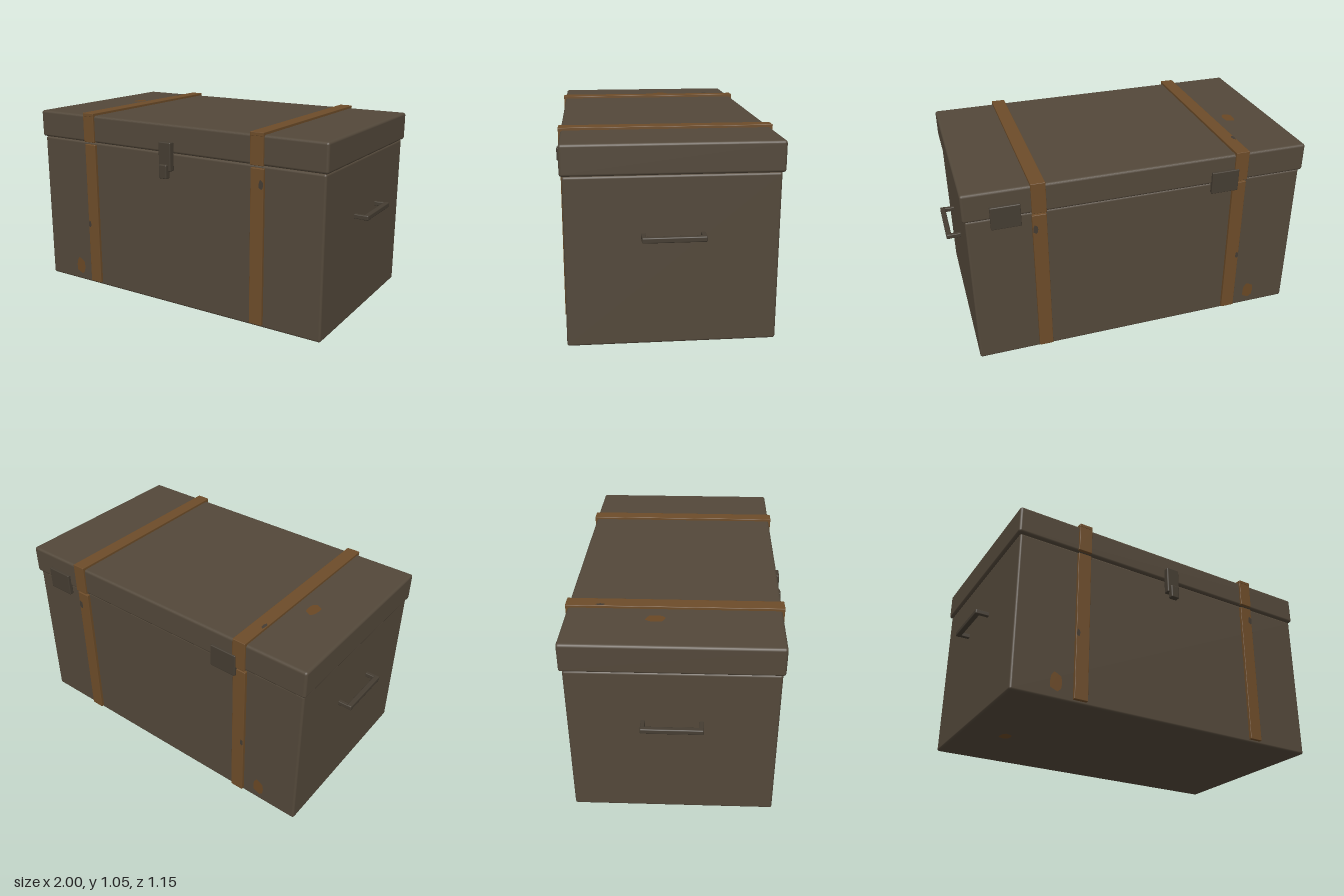
import * as THREE from 'three';
import { RoundedBoxGeometry } from 'three/addons/geometries/RoundedBoxGeometry.js';

const material = (name, color) => {
  const m = new THREE.MeshStandardMaterial({ color });
  m.name = name;
  return m;
};

export function createModel() {
  const chest = new THREE.Group();
  chest.name = 'travelChest';

  const paint = material('olive brown paint', 0x53483a);
  const leather = material('brown strap', 0x6d4c29);
  const iron = material('dark iron', 0x453d32);
  const rust = material('rust', 0x6a4824);
  const worn = material('worn patch', 0x443c33);

  // Softly rounded box given by its extents on each axis
  function block(name, mat, [x0, x1], [y0, y1], [z0, z1], radius = 0.004, parent = chest) {
    const mesh = new THREE.Mesh(
      new RoundedBoxGeometry(x1 - x0, y1 - y0, z1 - z0, 2, radius), mat);
    mesh.position.set((x0 + x1) / 2, (y0 + y1) / 2, (z0 + z1) / 2);
    mesh.name = name;
    parent.add(mesh);
    return mesh;
  }

  // Flat irregular spot lying just over a surface
  function spot(name, mat, w, h, position, rotation = [0, 0, 0]) {
    const radii = [0.95, 1, 0.85, 1, 0.9, 0.85, 1, 0.8, 0.95, 1];
    const points = radii.map((r, i) => {
      const a = (i / radii.length) * Math.PI * 2;
      return new THREE.Vector2(Math.cos(a) * r * w / 2, Math.sin(a) * r * h / 2);
    });
    const mesh = new THREE.Mesh(new THREE.ShapeGeometry(new THREE.Shape(points)), mat);
    mesh.position.set(...position);
    mesh.rotation.set(...rotation);
    mesh.name = name;
    chest.add(mesh);
  }

  // Main box and lid
  block('body', paint, [-0.925, 0.922], [0, 0.874], [-0.542, 0.514], 0.012);
  block('lid', paint, [-0.937, 0.935], [0.876, 1.032], [-0.557, 0.526], 0.014);

  // Two straps, split at the lid seam
  for (const x of [-0.556, 0.553]) {
    const strap = new THREE.Group();
    strap.name = 'strap';
    chest.add(strap);
    const across = [x - 0.038, x + 0.038];
    block('strapFront', leather, across, [0.017, 0.862], [0.508, 0.531], 0.003, strap);
    block('strapBack', leather, across, [0.017, 0.862], [-0.56, -0.536], 0.003, strap);
    block('strapLidFront', leather, across, [0.877, 1.036], [0.518, 0.537], 0.003, strap);
    block('strapLidBack', leather, across, [0.877, 1.036], [-0.568, -0.549], 0.003, strap);
    block('strapTop', leather, across, [1.026, 1.046], [-0.568, 0.538], 0.003, strap);
  }

  // Front latch
  block('latchPlate', iron, [-0.04, 0.038], [0.782, 0.94], [0.522, 0.558], 0.006);
  block('latchTongue', iron, [-0.027, 0.023], [0.743, 0.82], [0.543, 0.576], 0.006);

  // Rear hinges
  for (const x of [-0.463, 0.723]) {
    block('hinge', iron, [x - 0.077, x + 0.077], [0.824, 0.95], [-0.574, -0.549], 0.005);
  }

  // Side carrying handles
  for (const side of [-1, 1]) {
    const handle = new THREE.Group();
    handle.name = 'handle';
    chest.add(handle);
    const span = (a, b) => (side > 0 ? [a, b] : [-b, -a]);
    block('handleGrip', iron, span(0.972, 1), [0.56, 0.588], [-0.172, 0.143], 0.006, handle);
    for (const z of [-0.161, 0.132]) {
      block('handlePost', iron, span(0.915, 0.985), [0.562, 0.586], [z - 0.011, z + 0.011], 0.004, handle);
    }
  }

  // Rust spots
  const back = [0, Math.PI, 0];
  spot('rustFront', rust, 0.072, 0.11, [-0.69, 0.09, 0.516]);
  spot('rustBack', rust, 0.072, 0.11, [-0.69, 0.09, -0.544], back);
  spot('rustTop', rust, 0.068, 0.11, [-0.69, 1.034, -0.105], [-Math.PI / 2, 0, 0]);
  spot('rustBottom', rust, 0.068, 0.09, [-0.69, -0.002, -0.095], [Math.PI / 2, 0, 0]);

  // Worn patches on the straps
  for (const [z, turn] of [[0.533, [0, 0, 0]], [-0.562, back]]) {
    spot('strapWear', worn, 0.028, 0.055, [0.577, 0.78, z], turn);
    spot('strapWear', worn, 0.02, 0.045, [-0.583, 0.38, z], turn);
  }
  spot('strapWearTop', worn, 0.02, 0.05, [-0.583, 1.048, -0.39], [-Math.PI / 2, 0, 0]);

  return chest;
}
